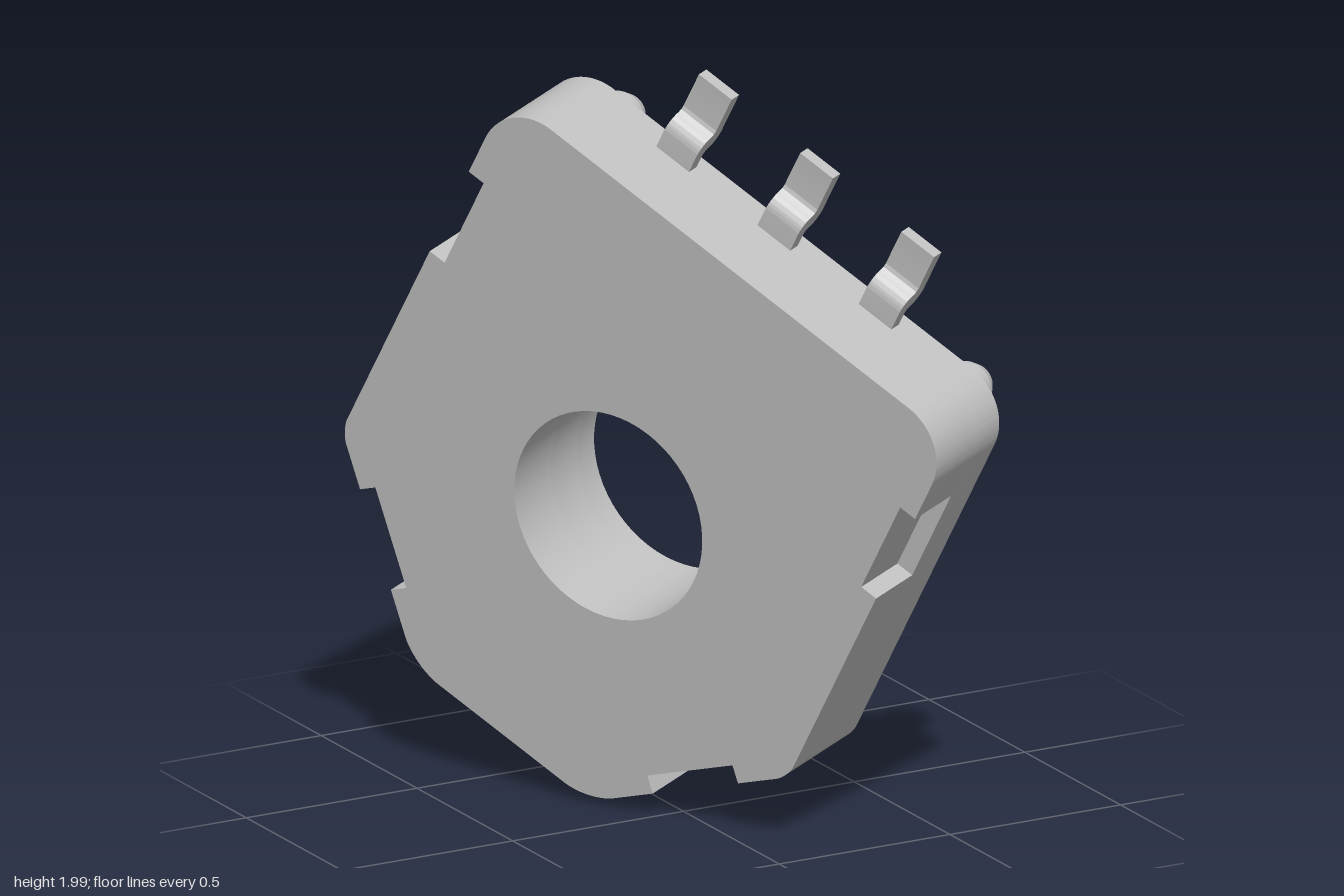
import * as THREE from 'three';
import { toCreasedNormals } from 'three/addons/utils/BufferGeometryUtils.js';

// Local frame: x along the terminal edge, y across the plate, z through its thickness
const THICK = 0.295, NOTCH = 0.17, HOLE = 0.286;

// Closed path through [x, y, cornerLength] points
function trace(points) {
  const shape = new THREE.Shape();
  const k = 0.5523;
  points.forEach(([x, y, r = 0], i) => {
    const p = new THREE.Vector2(x, y);
    const prev = points[(i + points.length - 1) % points.length];
    const next = points[(i + 1) % points.length];
    const toPrev = new THREE.Vector2(prev[0] - x, prev[1] - y).normalize();
    const toNext = new THREE.Vector2(next[0] - x, next[1] - y).normalize();
    const a = p.clone().addScaledVector(toPrev, r);
    const b = p.clone().addScaledVector(toNext, r);
    if (i === 0) shape.moveTo(a.x, a.y); else shape.lineTo(a.x, a.y);
    if (r > 0) {
      const c1 = p.clone().addScaledVector(toPrev, r * (1 - k));
      const c2 = p.clone().addScaledVector(toNext, r * (1 - k));
      shape.bezierCurveTo(c1.x, c1.y, c2.x, c2.y, b.x, b.y);
    }
  });
  shape.closePath();
  return shape;
}

function plateShape(notched) {
  const half = [
    [0.293, -0.767, 0.08],
    ...(notched ? [[0.44, -0.62], [0.405, -0.585], [0.6, -0.39], [0.635, -0.425]] : []),
    [0.75, -0.31, 0.04],
    ...(notched ? [[0.75, 0.32], [0.7, 0.32], [0.7, 0.6], [0.75, 0.6]] : []),
    [0.75, 0.87, 0.15],
  ];
  const mirrored = half.map(([x, y, r]) => [-x, y, r]).reverse();
  const shape = trace([...half, ...mirrored]);
  const hole = new THREE.Path();
  hole.absarc(0, 0, HOLE, 0, Math.PI * 2, true);
  shape.holes.push(hole);
  return shape;
}

function extrude(shape, depth) {
  const geometry = new THREE.ExtrudeGeometry(shape, { depth, bevelEnabled: false, curveSegments: 32 });
  return toCreasedNormals(geometry, 0.5);
}

export function createModel() {
  const grey = new THREE.MeshStandardMaterial({ color: 0xbfbfbf });
  grey.name = 'grey';
  const body = new THREE.Group();
  body.name = 'housing';

  const add = (name, geometry, x = 0, y = 0, z = 0) => {
    const mesh = new THREE.Mesh(geometry, grey);
    mesh.name = name;
    mesh.position.set(x, y, z);
    body.add(mesh);
    return mesh;
  };

  // Plate: notched front layer and full back layer
  add('frontPlate', extrude(plateShape(true), NOTCH));
  add('backPlate', extrude(plateShape(false), THICK - NOTCH), 0, 0, NOTCH);

  // Raised ring around the hole
  const ring = new THREE.Shape();
  ring.absarc(0, 0, 0.338, 0, Math.PI * 2, false);
  const bore = new THREE.Path();
  bore.absarc(0, 0, HOLE, 0, Math.PI * 2, true);
  ring.holes.push(bore);
  add('collar', extrude(ring, 0.08), 0, 0, THICK);

  // Locating pegs with chamfered tips
  const pegProfile = [[0, -0.02], [0.067, -0.02], [0.067, 0.105], [0.046, 0.14], [0, 0.14]];
  const peg = toCreasedNormals(
    new THREE.LatheGeometry(pegProfile.map(([r, h]) => new THREE.Vector2(r, h)), 32), 0.5);
  peg.rotateX(Math.PI / 2);
  for (const side of [-1, 1]) add('locatingPeg', peg, side * 0.583, 0.741, THICK);

  // Bent strip terminals: profile drawn as [z, distance outward], extruded along x
  const terminal = (reach) => {
    const profile = trace([
      [0.215, -0.07], [0.25, -0.07], [0.25, 0.05, 0.012], [0.3, 0.075, 0.03],
      [0.3, reach], [0.265, reach], [0.265, 0.11, 0.012], [0.215, 0.085, 0.03],
    ]);
    const geometry = extrude(profile, 0.11);
    geometry.translate(0, 0, -0.055);
    geometry.rotateY(-Math.PI / 2);
    return geometry;
  };
  const longTerminal = terminal(0.23);
  for (const x of [-0.335, 0.005, 0.345]) add('terminal', longTerminal, x, 0.87, 0);

  // Short terminal on the opposite edge
  const short = terminal(0.165);
  short.rotateZ(Math.PI);
  add('lowerTerminal', short, 0, -0.767, 0);

  // Tilt the whole part into place
  const n = new THREE.Vector3(0.88, 0.1, -0.46).normalize();
  const v = new THREE.Vector3().crossVectors(n, new THREE.Vector3(-0.449, 0.48, -0.754)).normalize();
  const u = new THREE.Vector3().crossVectors(v, n);
  body.quaternion.setFromRotationMatrix(new THREE.Matrix4().makeBasis(u, v, n));
  body.position.set(-0.195, 0.817, -0.045);

  const model = new THREE.Group();
  model.name = 'slottedHousing';
  model.add(body);
  return model;
}
